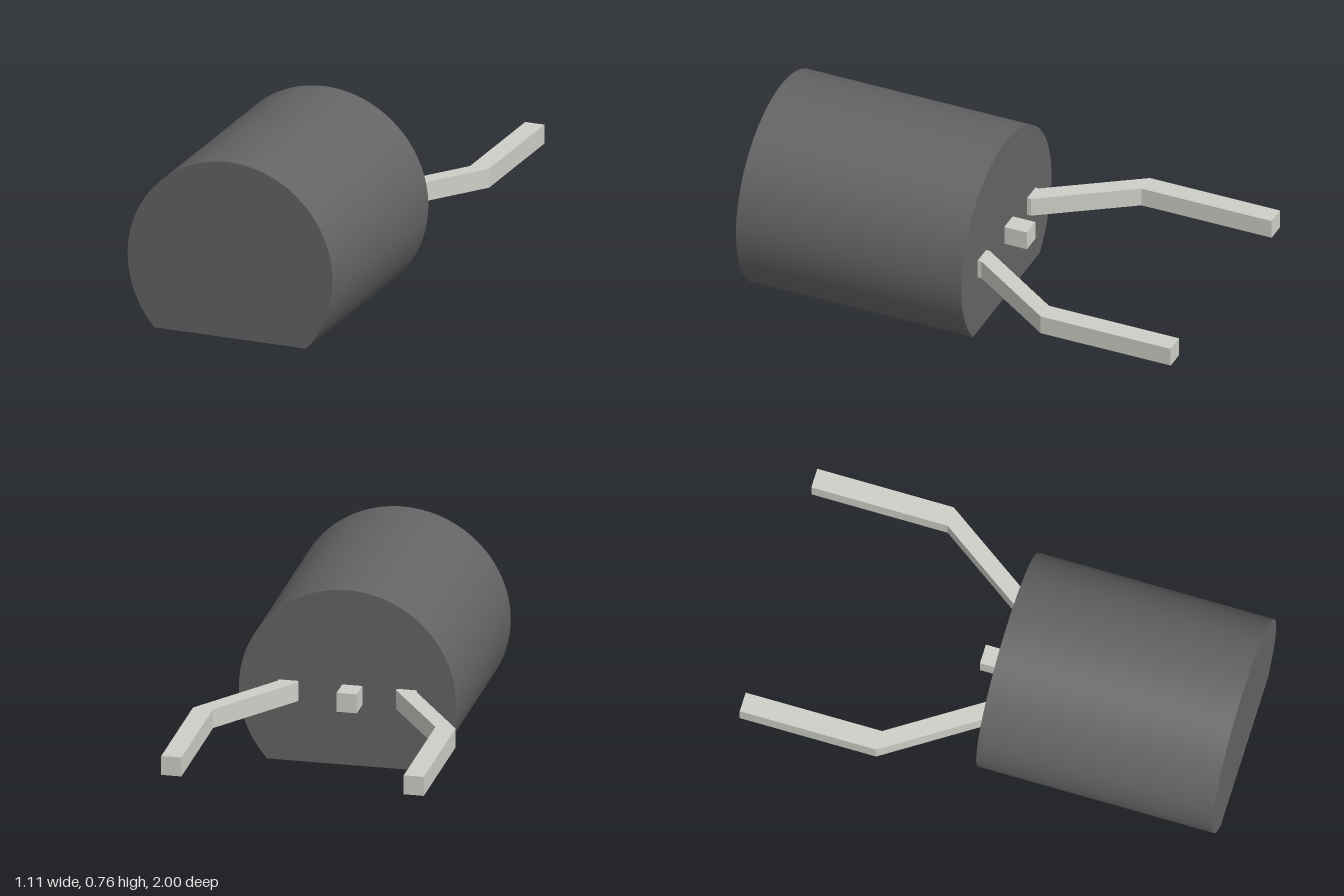
import * as THREE from 'three';
import { toCreasedNormals } from 'three/addons/utils/BufferGeometryUtils.js';

const BODY = { x: -0.005, y: 0.308, radius: 0.457, back: -0.013, front: 1 };
const LEAD = { bottom: 0.268, height: 0.083, width: 0.085 };

const bodyMaterial = new THREE.MeshStandardMaterial({ color: 0x646464 });
const leadMaterial = new THREE.MeshStandardMaterial({ color: 0xcfcfc8 });

// Round can with a flat cut along its underside
function createBody() {
  const { x, y, radius, back, front } = BODY;
  const cut = Math.asin(y / radius);
  const profile = new THREE.Shape();
  profile.absarc(x, y, radius, -cut, Math.PI + cut, false);
  profile.closePath();
  const extruded = new THREE.ExtrudeGeometry(profile, {
    depth: front - back, bevelEnabled: false, curveSegments: 72,
  });
  extruded.translate(0, 0, back);
  const body = new THREE.Mesh(toCreasedNormals(extruded, 0.4), bodyMaterial);
  body.name = 'body';
  return body;
}

// Square lead following [x, z] centre points, with constant width in x
function createLead(name, path) {
  const half = LEAD.width / 2;
  const rightEdge = path.map(([x, z]) => new THREE.Vector2(x + half, -z));
  const leftEdge = path.map(([x, z]) => new THREE.Vector2(x - half, -z)).reverse();
  const geometry = new THREE.ExtrudeGeometry(new THREE.Shape([...rightEdge, ...leftEdge]), {
    depth: LEAD.height, bevelEnabled: false,
  });
  geometry.rotateX(-Math.PI / 2);
  geometry.translate(0, LEAD.bottom, 0);
  const lead = new THREE.Mesh(geometry, leadMaterial);
  lead.name = name;
  return lead;
}

export function createModel() {
  const model = new THREE.Group();
  model.name = 'threeLeadComponent';
  model.add(createBody());

  // Outer leads splay apart, then run straight back
  for (const [name, side, root] of [['leftLead', 1, 0.243], ['rightLead', -1, 0.257]]) {
    model.add(createLead(name, [
      [side * root, BODY.back], [side * root, -0.03], [side * 0.511, -0.415], [side * 0.511, -1],
    ]));
  }

  // Short middle lead
  model.add(createLead('middleLead', [[-0.026, BODY.back], [-0.026, -0.115]]));
  return model;
}
